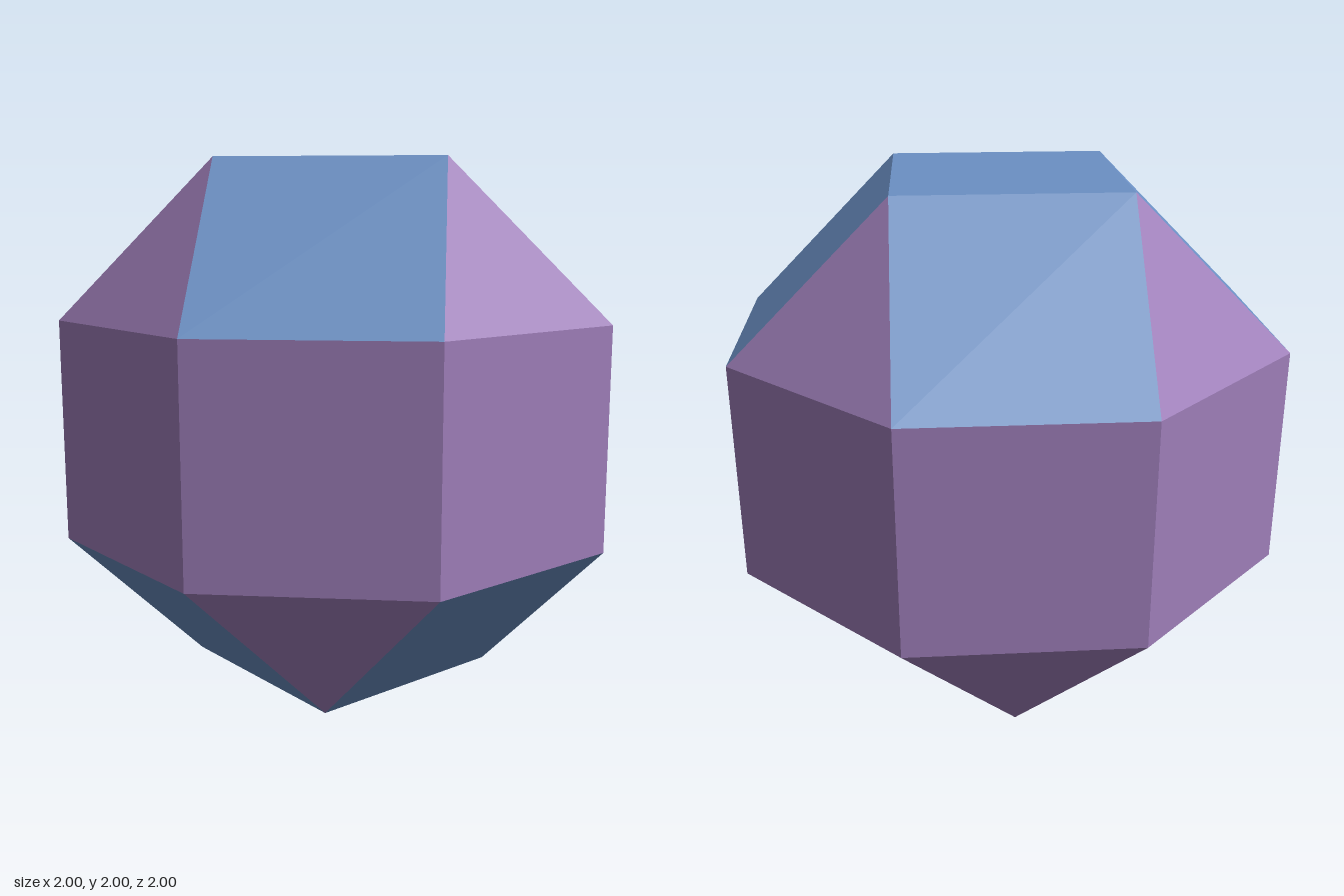
import * as THREE from 'three';

const R = 1.0824;            // corner radius of the eight-sided band
const CAP = 0.5858;          // corner radius of the square caps
const LOW = 0.5858, HIGH = 1.4142;

const at = (deg, r, y) => {
  const a = THREE.MathUtils.degToRad(deg);
  return [r * Math.sin(a), y, r * Math.cos(a)];
};

// Flat-shaded mesh from convex polygons, corners counter-clockwise from outside
function facets(name, polygons, material) {
  const positions = [];
  for (const p of polygons) {
    for (let i = 1; i < p.length - 1; i++) positions.push(...p[0], ...p[i], ...p[i + 1]);
  }
  const geometry = new THREE.BufferGeometry();
  geometry.setAttribute('position', new THREE.Float32BufferAttribute(positions, 3));
  geometry.computeVertexNormals();
  const mesh = new THREE.Mesh(geometry, material);
  mesh.name = name;
  return mesh;
}

// Square cap joined to the band by four sloping squares and four triangles
function dome(name, ringY, capY, turn, blue, purple) {
  const flip = (p) => (capY < ringY ? p.reverse() : p);
  const squares = [], triangles = [], cap = [];
  for (let m = 0; m < 4; m++) {
    const a = turn + m * 90;
    triangles.push(flip([at(a - 22.5, R, ringY), at(a + 22.5, R, ringY), at(a, CAP, capY)]));
    squares.push(flip([at(a + 22.5, R, ringY), at(a + 67.5, R, ringY),
      at(a + 90, CAP, capY), at(a, CAP, capY)]));
    cap.push(at(a, CAP, capY));
  }
  const group = new THREE.Group();
  group.name = name;
  group.add(
    facets(name + 'Cap', [flip(cap)], blue),
    facets(name + 'Squares', squares, blue),
    facets(name + 'Triangles', triangles, purple),
  );
  return group;
}

export function createModel() {
  const blue = new THREE.MeshStandardMaterial({ color: 0x6b90c4 });
  blue.name = 'blue';
  const purple = new THREE.MeshStandardMaterial({ color: 0x9e7eb9 });
  purple.name = 'purple';

  // Upright band of eight squares
  const band = [];
  for (let k = 0; k < 8; k++) {
    const a = k * 45 - 22.5, b = a + 45;
    band.push([at(a, R, LOW), at(b, R, LOW), at(b, R, HIGH), at(a, R, HIGH)]);
  }

  // The lower dome is turned an eighth against the upper one
  const model = new THREE.Group();
  model.name = 'twistedPolyhedron';
  model.add(
    facets('middleBand', band, purple),
    dome('upperDome', HIGH, 2, 0, blue, purple),
    dome('lowerDome', LOW, 0, 45, blue, purple),
  );
  return model;
}
